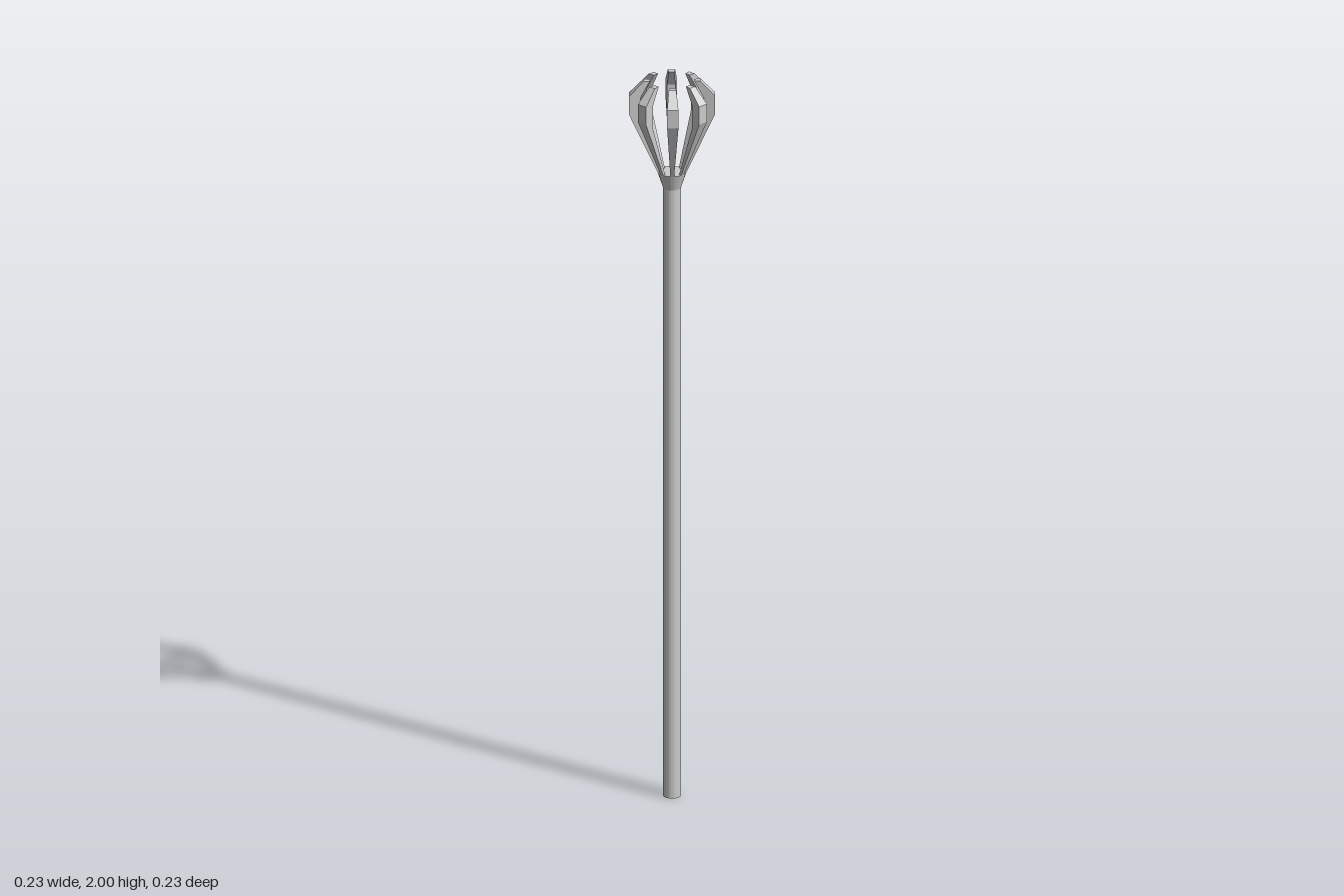
import * as THREE from 'three';

const SIDES = 24;
const PRONGS = 8;
const STEP = (Math.PI * 2) / SIDES;

// One curved prong: a closed radius/height profile swept through one facet of the shaft
function prongGeometry() {
  const profile = [
    [0.03, 1.745], [0.038, 1.745], [0.113, 1.91], [0.113, 1.96],
    [0.075, 2], [0.058, 2], [0.083, 1.955], [0.083, 1.89],
  ];
  const shape = new THREE.Shape(profile.map(([r, y]) => new THREE.Vector2(r, y)));
  const geo = new THREE.ExtrudeGeometry(shape, { depth: STEP, steps: 1, bevelEnabled: false });
  const pos = geo.attributes.position;
  // Bend: x is the radius, z is the angle
  for (let i = 0; i < pos.count; i++) {
    const r = pos.getX(i);
    const a = -pos.getZ(i);
    pos.setXYZ(i, r * Math.sin(a), pos.getY(i), r * Math.cos(a));
  }
  geo.computeVertexNormals();
  return geo;
}

export function createModel() {
  const group = new THREE.Group();
  const material = new THREE.MeshStandardMaterial({ color: 0xcccccc, flatShading: true });

  // Long shaft with flared collar, closed at both ends
  const outline = [[0, 0], [0.023, 0], [0.023, 1.7], [0.038, 1.745], [0, 1.745]];
  const shaft = new THREE.Mesh(
    new THREE.LatheGeometry(outline.map(([r, y]) => new THREE.Vector2(r, y)), SIDES),
    material
  );
  shaft.name = 'shaft';
  group.add(shaft);

  // Open cage of prongs around the head
  const head = new THREE.Group();
  head.name = 'head';
  const geo = prongGeometry();
  for (let i = 0; i < PRONGS; i++) {
    const prong = new THREE.Mesh(geo, material);
    prong.name = `prong${i + 1}`;
    prong.rotation.y = (i * Math.PI * 2) / PRONGS;
    head.add(prong);
  }
  group.add(head);

  return group;
}
